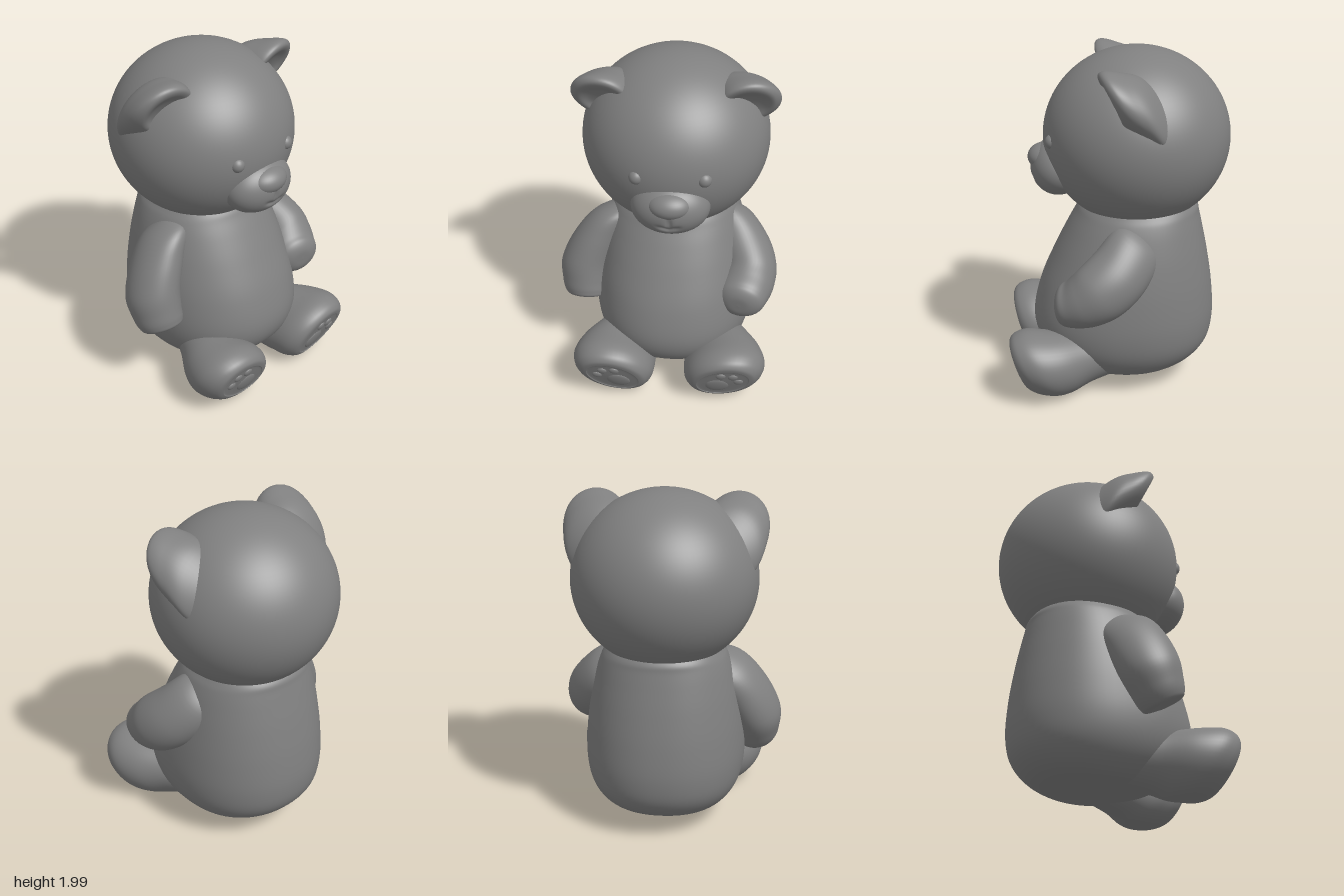
import * as THREE from 'three';

const material = new THREE.MeshStandardMaterial({ color: 0x808080 });

function mesh(name, geometry, parent) {
  const m = new THREE.Mesh(geometry, material);
  m.name = name;
  parent.add(m);
  return m;
}

const soften = (v, power) => Math.sign(v) * Math.abs(v) ** power;

// Smooth skin over rings. Row: [x, y, z, radiusA, radiusB, pitch, yaw].
// Rings advance along their own forward axis; side = -1 mirrors across x.
// A power below 1 makes the rings squarer than an ellipse.
function loft(rows, { side = 1, roll = 0, around = 48, steps = 6, power = 1 } = {}) {
  const spline = (f) => new THREE.CatmullRomCurve3(rows.map((r) => new THREE.Vector3(...f(r))), false, 'catmullrom', 0.5);
  const path = spline((r) => [r[0] * side, r[1], r[2]]);
  const radii = spline((r) => [r[3], r[4], 0]);
  const turns = spline((r) => [r[5], (r[6] || 0) * side, 0]);
  const rings = (rows.length - 1) * steps;
  const positions = [], index = [];
  for (let i = 0; i <= rings; i++) {
    const t = i / rings;
    const c = path.getPoint(t), r = radii.getPoint(t), e = turns.getPoint(t);
    const turn = new THREE.Euler(e.x, e.y, roll * side, 'YXZ');
    for (let j = 0; j < around; j++) {
      const a = (j / around) * Math.PI * 2;
      const p = new THREE.Vector3(
        Math.max(r.x, 0) * soften(Math.cos(a), power), Math.max(r.y, 0) * soften(Math.sin(a), power), 0);
      p.applyEuler(turn).add(c);
      positions.push(p.x, p.y, p.z);
      if (i < rings) {
        const k = (j + 1) % around, lo = i * around, hi = lo + around;
        index.push(lo + j, lo + k, hi + k, lo + j, hi + k, hi + j);
      }
    }
  }
  const g = new THREE.BufferGeometry();
  g.setAttribute('position', new THREE.Float32BufferAttribute(positions, 3));
  g.setIndex(index);
  g.computeVertexNormals();
  return g;
}

function ellipsoid(name, parent, [x, y, z], [rx, ry, rz], detail = 24) {
  const m = mesh(name, new THREE.SphereGeometry(1, detail * 2, detail), parent);
  m.position.set(x, y, z);
  m.scale.set(rx, ry, rz);
  return m;
}

export function createModel() {
  const root = new THREE.Group();
  root.name = 'teddyBear';
  const bear = new THREE.Group();
  bear.name = 'bear';
  bear.position.x = 0.03;
  root.add(bear);

  // Pear-shaped torso, lofted upwards: [y, back z, front z, half width]
  const torso = [
    [0.075, -0.08, -0.08, 0], [0.085, -0.24, 0.14, 0.23], [0.14, -0.41, 0.32, 0.35],
    [0.25, -0.52, 0.455, 0.435], [0.4, -0.555, 0.505, 0.468], [0.6, -0.545, 0.465, 0.46],
    [0.8, -0.515, 0.38, 0.43], [0.95, -0.485, 0.305, 0.395], [1.04, -0.465, 0.255, 0.365],
    [1.085, -0.455, 0.23, 0.34], [1.13, -0.42, 0.19, 0.31],
  ];
  mesh('torso', loft(torso.map(([y, back, front, w]) =>
    [0, y, (back + front) / 2, w, (front - back) / 2, -Math.PI / 2]), { around: 72, power: 0.92 }), bear);

  // Head
  ellipsoid('head', bear, [0, 1.49, -0.1], [0.535, 0.51, 0.535], 48);

  // Muzzle with a split mouth pressed into it
  const muzzleGeometry = new THREE.SphereGeometry(1, 96, 64);
  muzzleGeometry.scale(0.22, 0.165, 0.16);
  const p = muzzleGeometry.attributes.position;
  for (let i = 0; i < p.count; i++) {
    const x = p.getX(i), y = p.getY(i), z = p.getZ(i);
    if (z < 0.05) continue;
    const slit = Math.exp(-((x / 0.012) ** 2)) * Math.exp(-(((y + 0.02) / 0.045) ** 2));
    const smile = Math.exp(-(((y + 0.075 - Math.abs(x) * 0.3) / 0.016) ** 2)) * Math.exp(-((x / 0.06) ** 4));
    p.setZ(i, z - 0.016 * Math.max(slit, smile));
  }
  muzzleGeometry.computeVertexNormals();
  mesh('muzzle', muzzleGeometry, bear).position.set(0, 1.31, 0.35);
  ellipsoid('nose', bear, [0, 1.365, 0.425], [0.125, 0.078, 0.1]);

  // Parts mirrored across the body
  for (const side of [1, -1]) {
    const label = side > 0 ? 'left' : 'right';
    ellipsoid(label + 'Eye', bear, [0.185 * side, 1.505, 0.38], [0.042, 0.043, 0.042], 16);

    // Ear: broad dome swelling out of the head, shallow hollow in front
    mesh(label + 'Ear', loft([
      [0.28, 1.62, -0.27, 0.16, 0.17, 0.2, 0.05], [0.33, 1.685, -0.17, 0.212, 0.225, 0.3, 0.08],
      [0.375, 1.745, -0.07, 0.202, 0.21, 0.4, 0.1], [0.4, 1.78, 0.01, 0.183, 0.192, 0.45, 0.12],
      [0.4, 1.785, 0.055, 0.16, 0.165, 0.45, 0.15], [0.4, 1.78, 0.06, 0.13, 0.13, 0.45, 0.15],
      [0.395, 1.775, 0.035, 0.08, 0.08, 0.45, 0.15], [0.39, 1.77, 0.02, 0, 0, 0.45, 0.15],
    ], { side }), bear);

    // Leg running from the hip to a tilted, slightly recessed sole
    mesh(label + 'Leg', loft([
      [0.18, 0.22, 0.0, 0.15, 0.12, 0, 0.3], [0.245, 0.215, 0.2, 0.185, 0.155, 0.1, 0.25],
      [0.305, 0.212, 0.34, 0.23, 0.19, 0.3, 0.15], [0.327, 0.217, 0.45, 0.247, 0.215, 0.42, 0.1],
      [0.327, 0.21, 0.53, 0.235, 0.2, 0.42, 0.06], [0.325, 0.205, 0.58, 0.2, 0.165, 0.38, 0.05],
      [0.325, 0.203, 0.593, 0.165, 0.13, 0.35, 0.05], [0.325, 0.203, 0.589, 0.145, 0.11, 0.35, 0.05],
      [0.325, 0.203, 0.594, 0, 0, 0.35, 0.05],
    ], { side, roll: 0.55 }), bear);

    // Paw pads on the sole
    const pads = new THREE.Group();
    pads.name = label + 'PawPads';
    pads.position.set(0.325 * side, 0.203, 0.589);
    pads.rotation.set(0.35, 0.05 * side, 0.55 * side, 'YXZ');
    bear.add(pads);
    ellipsoid('heelPad', pads, [-0.045 * side, -0.01, 0], [0.07, 0.065, 0.014], 16);
    for (const [x, y] of [[0.03, 0.075], [0.085, 0.03], [0.085, -0.035]]) {
      ellipsoid('toePad', pads, [x * side, y, 0], [0.03, 0.028, 0.012], 12);
    }
  }

  // Left arm bends forward to a blunt hand resting on the belly
  mesh('leftArm', loft([
    [0.25, 1.02, -0.14, 0.05, 0.05, 0.9, 0], [0.305, 0.95, -0.1, 0.135, 0.155, 0.9, 0.1],
    [0.395, 0.82, 0.0, 0.165, 0.178, 0.85, 0.1], [0.45, 0.72, 0.11, 0.16, 0.178, 0.75, 0],
    [0.437, 0.655, 0.205, 0.162, 0.16, 0.5, -0.15], [0.41, 0.62, 0.285, 0.152, 0.135, 0.25, -0.2],
    [0.4, 0.612, 0.34, 0.125, 0.112, 0.12, -0.2], [0.395, 0.61, 0.368, 0.07, 0.065, 0.1, -0.2],
    [0.395, 0.61, 0.373, 0, 0, 0.1, -0.2],
  ]), bear);

  // Right arm hangs down beside the body
  mesh('rightArm', loft([
    [-0.28, 1.04, -0.06, 0.05, 0.05, 1.2], [-0.355, 0.96, -0.035, 0.13, 0.155, 1.2],
    [-0.45, 0.82, 0, 0.152, 0.178, 1.2], [-0.52, 0.66, 0.04, 0.155, 0.178, 1.2],
    [-0.53, 0.54, 0.085, 0.142, 0.155, 1.15], [-0.525, 0.475, 0.115, 0.13, 0.135, 1.1],
    [-0.52, 0.447, 0.13, 0.1, 0.105, 1.1], [-0.52, 0.443, 0.132, 0, 0, 1.1],
  ]), bear);

  return root;
}
